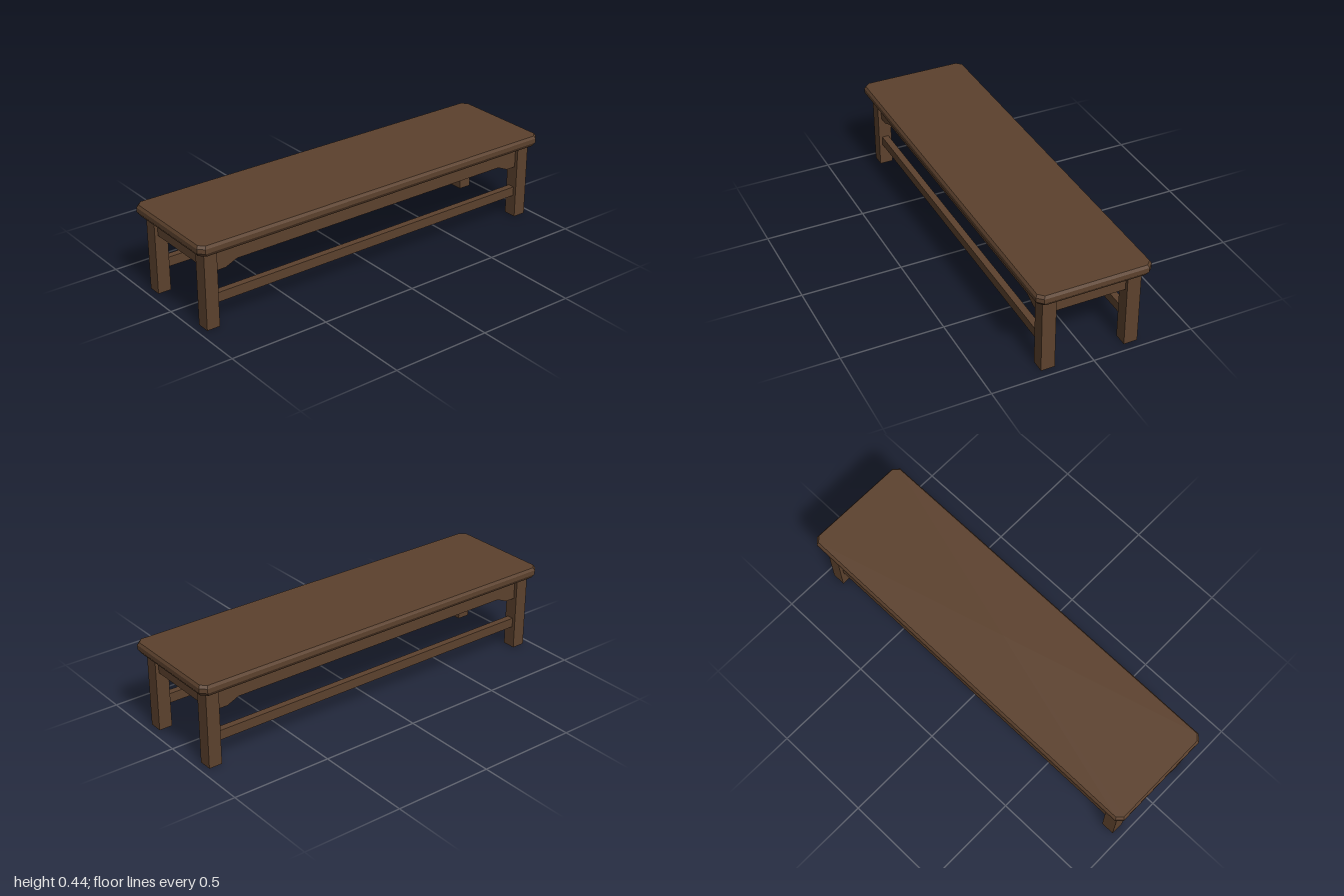
import * as THREE from 'three';

const wood = new THREE.MeshStandardMaterial({ color: 0x5c412d, side: THREE.DoubleSide });
wood.name = 'brown wood';

// Rectangle with cut corners at height y, running from +x towards +z
function ring(y, hx, hz, c) {
  return [
    [hx, -hz + c], [hx, hz - c], [hx - c, hz], [-hx + c, hz],
    [-hx, hz - c], [-hx, -hz + c], [-hx + c, -hz], [hx - c, -hz],
  ].map(([x, z]) => [x, y, z]);
}

// Seat slab: stacked rings with chamfered upper and lower edges
function seatGeometry() {
  const rings = [
    ring(0.383, 0.987, 0.268, 0.026),
    ring(0.403, 1, 0.281, 0.027),
    ring(0.425, 1, 0.281, 0.027),
    ring(0.438, 0.992, 0.273, 0.025),
  ];
  const pos = [];
  const tri = (a, b, c) => pos.push(...a, ...b, ...c);
  const n = rings[0].length, top = rings[rings.length - 1], bottom = rings[0];
  for (let i = 0; i < n; i++) {
    const j = (i + 1) % n;
    for (let k = 0; k < rings.length - 1; k++) {
      const lo = rings[k], hi = rings[k + 1];
      tri(lo[i], hi[i], hi[j]);
      tri(lo[i], hi[j], lo[j]);
    }
    tri([0, top[0][1], 0], top[j], top[i]);
    tri([0, bottom[0][1], 0], bottom[i], bottom[j]);
  }
  const g = new THREE.BufferGeometry();
  g.setAttribute('position', new THREE.Float32BufferAttribute(pos, 3));
  g.computeVertexNormals();
  return g;
}

// Square leg, open underneath
function legGeometry() {
  const g = new THREE.BoxGeometry(0.067, 0.383, 0.068);
  const idx = Array.from(g.index.array);
  idx.splice(18, 6);
  g.setIndex(idx);
  g.clearGroups();
  return g;
}

// Long apron with a sloped bracket at each end
function apronGeometry(depth) {
  const s = new THREE.Shape([
    [-0.893, 0.383], [-0.893, 0.272], [-0.84, 0.272], [-0.78, 0.298],
    [0.78, 0.298], [0.84, 0.272], [0.893, 0.272], [0.893, 0.383],
  ].map(([x, y]) => new THREE.Vector2(x, y)));
  return new THREE.ExtrudeGeometry(s, { depth, bevelEnabled: false }).translate(0, 0, -depth / 2);
}

export function createModel() {
  const model = new THREE.Group();
  model.name = 'bench';
  const add = (name, geometry, x = 0, y = 0, z = 0) => {
    const m = new THREE.Mesh(geometry, wood);
    m.name = name;
    m.position.set(x, y, z);
    model.add(m);
  };

  add('seat', seatGeometry());

  const leg = legGeometry();
  const apron = apronGeometry(0.034);
  const stretcher = new THREE.BoxGeometry(1.786, 0.048, 0.034);
  const endApron = new THREE.BoxGeometry(0.034, 0.086, 0.348);

  for (const s of [1, -1]) {
    const side = s > 0 ? 'front' : 'back';
    const end = s > 0 ? 'left' : 'right';
    add(side + 'LeftLeg', leg, 0.9265, 0.1915, s * 0.208);
    add(side + 'RightLeg', leg, -0.9265, 0.1915, s * 0.208);
    add(side + 'Apron', apron, 0, 0, s * 0.208);
    add(side + 'Stretcher', stretcher, 0, 0.136, s * 0.208);
    add(end + 'EndApron', endApron, s * 0.9265, 0.34, 0);
  }
  return model;
}
